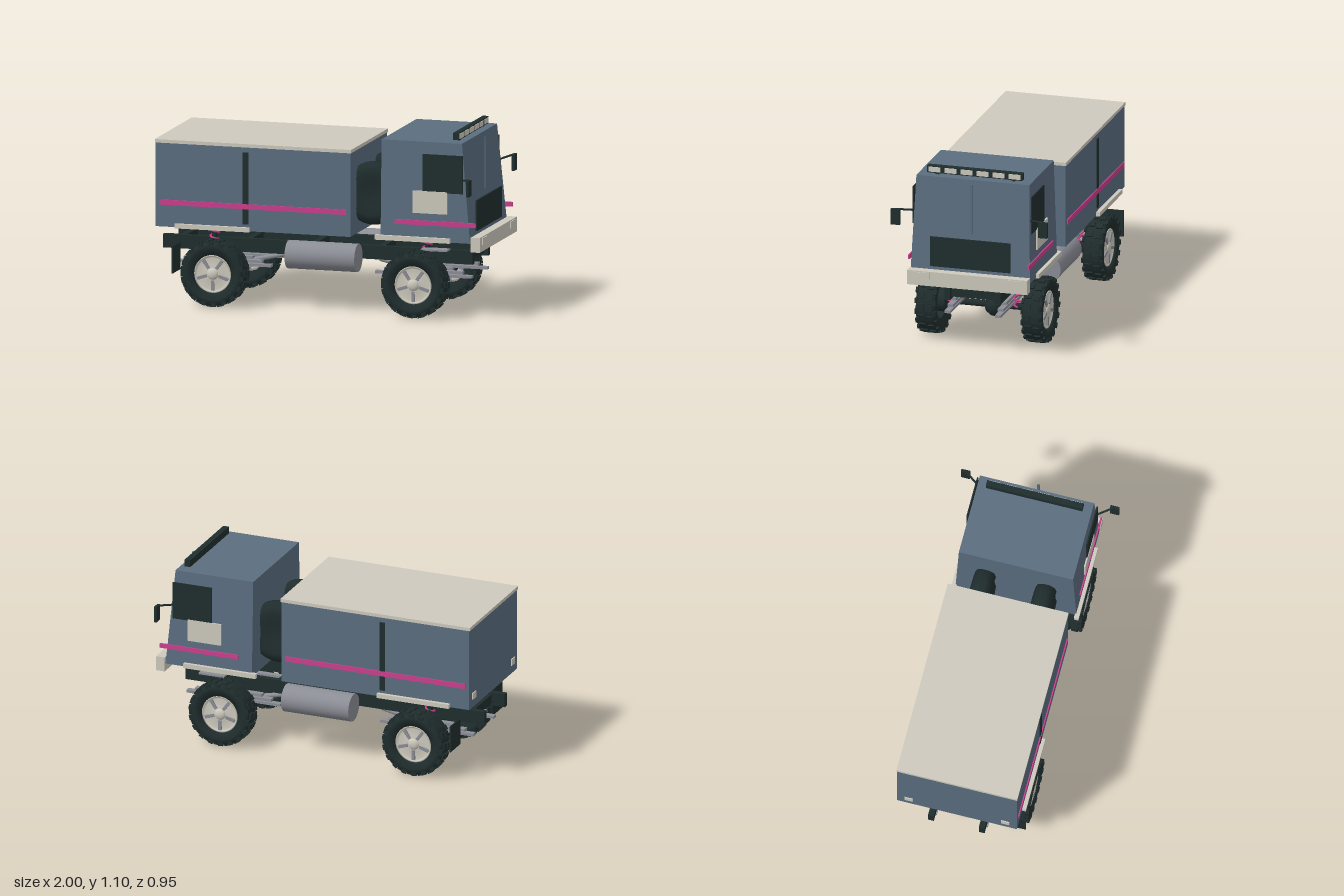
import * as THREE from 'three';

const mat = (name, color, side = THREE.FrontSide) => {
  const m = new THREE.MeshStandardMaterial({ color, side });
  m.name = name;
  return m;
};

export function createModel() {
  const truck = new THREE.Group();
  truck.name = 'truck';
  const blue = mat('blueGreyPaint', 0x5b6e80);
  const cream = mat('creamTrim', 0xcdc9bd, THREE.DoubleSide);
  const dark = mat('darkRubber', 0x202d2d);
  const pink = mat('pinkStripe', 0xcc3f8e);
  const grey = mat('greyMetal', 0x8c8e96);

  const add = (name, geo, m, parent = truck) => {
    const mesh = new THREE.Mesh(geo, m);
    mesh.name = name;
    parent.add(mesh);
    return mesh;
  };
  // box given by its limits on each axis
  const box = (name, m, x0, x1, y0, y1, z0, z1, parent = truck) => {
    const b = add(name, new THREE.BoxGeometry(x1 - x0, y1 - y0, z1 - z0), m, parent);
    b.position.set((x0 + x1) / 2, (y0 + y1) / 2, (z0 + z1) / 2);
    return b;
  };
  // the same box on both sides of the truck
  const pair = (name, m, x0, x1, y0, y1, z0, z1) => {
    box(name + 'Left', m, x0, x1, y0, y1, -z1, -z0);
    box(name + 'Right', m, x0, x1, y0, y1, z0, z1);
  };
  // round bar between two points
  const bar = (name, m, a, b, r, seg = 16) => {
    const p = new THREE.Vector3(...a), q = new THREE.Vector3(...b);
    const c = add(name, new THREE.CylinderGeometry(r, r, p.distanceTo(q), seg), m);
    c.position.copy(p).add(q).multiplyScalar(0.5);
    c.quaternion.setFromUnitVectors(new THREE.Vector3(0, 1, 0), q.sub(p).normalize());
    return c;
  };

  // cargo body
  box('cargoBody', blue, -0.985, 0.2, 0.46, 0.955, -0.36, 0.36);
  box('cargoRoof', cream, -0.99, 0.205, 0.955, 0.975, -0.363, 0.363);
  pair('cargoStripe', pink, -0.96, 0.175, 0.59, 0.62, 0.358, 0.367);
  pair('cargoPillar', dark, -0.455, -0.42, 0.5, 0.925, 0.357, 0.364);
  pair('cargoSill', cream, -0.865, -0.41, 0.457, 0.483, 0.355, 0.383);
  pair('tailLight', cream, -0.991, -0.983, 0.51, 0.55, 0.265, 0.315);

  // cab with raked front and slightly inward-leaning sides
  const cabGeo = new THREE.BoxGeometry(0.545, 0.585, 0.726);
  const cp = cabGeo.attributes.position;
  for (let i = 0; i < cp.count; i++) {
    if (cp.getY(i) > 0) {
      cp.setZ(i, cp.getZ(i) * 0.945);
      if (cp.getX(i) > 0) cp.setX(i, cp.getX(i) - 0.055);
    }
  }
  cabGeo.computeVertexNormals();
  add('cab', cabGeo, blue).position.set(0.6575, 0.7525, 0);
  pair('sideWindow', dark, 0.64, 0.885, 0.75, 0.975, 0.355, 0.363);
  pair('sidePanel', cream, 0.58, 0.79, 0.625, 0.757, 0.357, 0.366);
  pair('cabStripe', pink, 0.47, 0.965, 0.555, 0.582, 0.358, 0.367);
  pair('cabSill', cream, 0.355, 0.81, 0.457, 0.485, 0.355, 0.383);
  box('grille', dark, 0.925, 0.935, 0.515, 0.695, -0.243, 0.243);
  box('windscreenDivider', blue, 0.908, 0.914, 0.725, 1.03, -0.0075, 0.0075);
  box('bumper', cream, 0.935, 0.99, 0.41, 0.497, -0.365, 0.365);
  pair('headlight', cream, 0.988, 0.996, 0.45, 0.49, 0.23, 0.322);

  // roof light bar
  box('lightBar', dark, 0.805, 0.84, 1.055, 1.097, -0.29, 0.29);
  pair('lightBarFoot', dark, 0.815, 0.83, 1.04, 1.057, 0.22, 0.24);
  for (let i = 0; i < 6; i++) {
    const z = (i - 2.5) * 0.0976;
    box('roofLamp', cream, 0.838, 0.844, 1.061, 1.091, z - 0.036, z + 0.036);
  }

  // chassis frame
  pair('chassisRail', dark, -1.0, 0.885, 0.3, 0.38, 0.135, 0.17);
  for (const x of [-0.9, -0.5, -0.1, 0.305, 0.84]) {
    box('crossMember', dark, x - 0.018, x + 0.018, 0.315, 0.368, -0.14, 0.14);
  }
  pair('mudflap', dark, -0.88, -0.873, 0.19, 0.35, 0.24, 0.387);
  pair('fenderPlate', grey, 0.6, 0.76, 0.385, 0.395, 0.2, 0.27);

  // wheel parts
  const tyreGeo = new THREE.LatheGeometry([
    [0.108, -0.045], [0.15, -0.062], [0.172, -0.061], [0.187, -0.045], [0.187, 0.045],
    [0.172, 0.061], [0.15, 0.062], [0.108, 0.045], [0.108, -0.045],
  ].map(p => new THREE.Vector2(...p)), 40).rotateX(Math.PI / 2);
  const rimGeo = new THREE.LatheGeometry([
    [0.112, -0.045], [0.112, 0.048], [0.104, 0.048], [0.095, 0.036], [0.05, 0.044], [0, 0.048],
  ].map(p => new THREE.Vector2(...p)), 36).rotateX(Math.PI / 2);

  const wheel = (x, s) => {
    const g = new THREE.Group();
    g.name = 'wheel';
    g.position.set(x, 0.197, s * 0.322);
    if (s < 0) g.rotation.y = Math.PI;
    add('tyre', tyreGeo, dark, g);
    add('rim', rimGeo, cream, g);
    const cap = add('hubCap', new THREE.SphereGeometry(0.035, 20, 12), cream, g);
    cap.position.z = 0.042;
    cap.scale.z = 0.5;
    for (let i = 0; i < 5; i++) {
      const a = -Math.PI / 2 + i * Math.PI * 2 / 5;
      const sp = box('spoke', grey, -0.03, 0.03, -0.009, 0.009, -0.01, 0.01, g);
      sp.position.set(Math.cos(a) * 0.068, Math.sin(a) * 0.068, 0.041);
      sp.rotation.z = a;
    }
    // staggered tread blocks and shoulder lugs
    const lug = new THREE.BoxGeometry(0.014, 0.034, 0.038);
    const shoulder = new THREE.BoxGeometry(0.022, 0.03, 0.014);
    for (let i = 0; i < 18; i++) {
      for (const k of [-1, 1]) {
        const a = (i + (k > 0 ? 0.15 : 0)) * Math.PI / 9;
        const t = add('treadBlock', lug, dark, g);
        t.position.set(Math.cos(a) * 0.189, Math.sin(a) * 0.189, k * 0.025);
        t.rotation.z = a;
        const b = a + Math.PI / 18;
        const h = add('shoulderLug', shoulder, dark, g);
        h.position.set(Math.cos(b) * 0.18, Math.sin(b) * 0.18, k * 0.057);
        h.rotation.z = b;
      }
    }
    truck.add(g);
  };

  // helical suspension spring
  class Helix extends THREE.Curve {
    getPoint(t, v = new THREE.Vector3()) {
      const a = t * Math.PI * 2 * 5.5;
      return v.set(Math.cos(a) * 0.026, t * 0.22, Math.sin(a) * 0.026);
    }
  }
  const coilGeo = new THREE.TubeGeometry(new Helix(), 130, 0.006, 6);

  // both axles with their suspension
  for (const [x, out] of [[-0.636, -1], [0.585, 1]]) {
    bar('axle', dark, [x, 0.2, -0.27], [x, 0.2, 0.27], 0.02);
    const diff = add('differential', new THREE.LatheGeometry([
      [0, -0.055], [0.045, -0.055], [0.066, -0.025], [0.07, 0], [0.066, 0.025], [0.045, 0.055], [0, 0.055],
    ].map(p => new THREE.Vector2(...p)), 20).rotateX(Math.PI / 2), dark);
    diff.position.set(x, 0.2, -0.055);
    bar('driveShaft', grey, [x - out * 0.05, 0.2, -0.055], [x - out * 0.33, 0.262, -0.055], 0.014);
    for (const s of [-1, 1]) {
      wheel(x, s);
      bar('brakeDrum', dark, [x, 0.2, s * 0.24], [x, 0.2, s * 0.29], 0.07, 24);
      [0.295, 0.24, 0.18].forEach((h, i) => {
        const y = 0.225 + i * 0.022;
        const z = s * 0.153;
        box('leafSpring', grey, x - h, x + h, y - 0.008, y + 0.008, z - 0.0175, z + 0.0175);
      });
      const sx = x + out * 0.037;
      add('coilSpring', coilGeo, pink).position.set(sx, 0.215, s * 0.203);
      bar('shockAbsorber', dark, [sx, 0.32, s * 0.203], [sx, 0.46, s * 0.203], 0.016);
      bar('springSeat', dark, [sx, 0.433, s * 0.203], [sx, 0.46, s * 0.203], 0.03);
    }
  }

  const spareGeo = new THREE.LatheGeometry([
    [0, -0.045], [0.08, -0.05], [0.125, -0.0625], [0.165, -0.05], [0.185, -0.02], [0.185, 0.02],
    [0.165, 0.05], [0.125, 0.0625], [0.08, 0.05], [0, 0.045],
  ].map(p => new THREE.Vector2(...p)), 40).rotateX(Math.PI / 2);
  for (const s of [-1, 1]) {
    // spare tyres, fuel tanks and mirrors
    add('spareTyre', spareGeo, dark).position.set(0.29, 0.695, s * 0.182);
    bar('fuelTank', grey, [-0.21, 0.318, s * 0.25], [0.215, 0.318, s * 0.25], 0.083, 32);
    bar('mirrorArm', dark, [0.885, 0.832, s * 0.355], [0.95, 0.85, s * 0.45], 0.006, 8);
    box('mirror', dark, 0.94, 0.957, 0.755, 0.85, s * 0.448 - 0.027, s * 0.448 + 0.027);
  }
  return truck;
}
